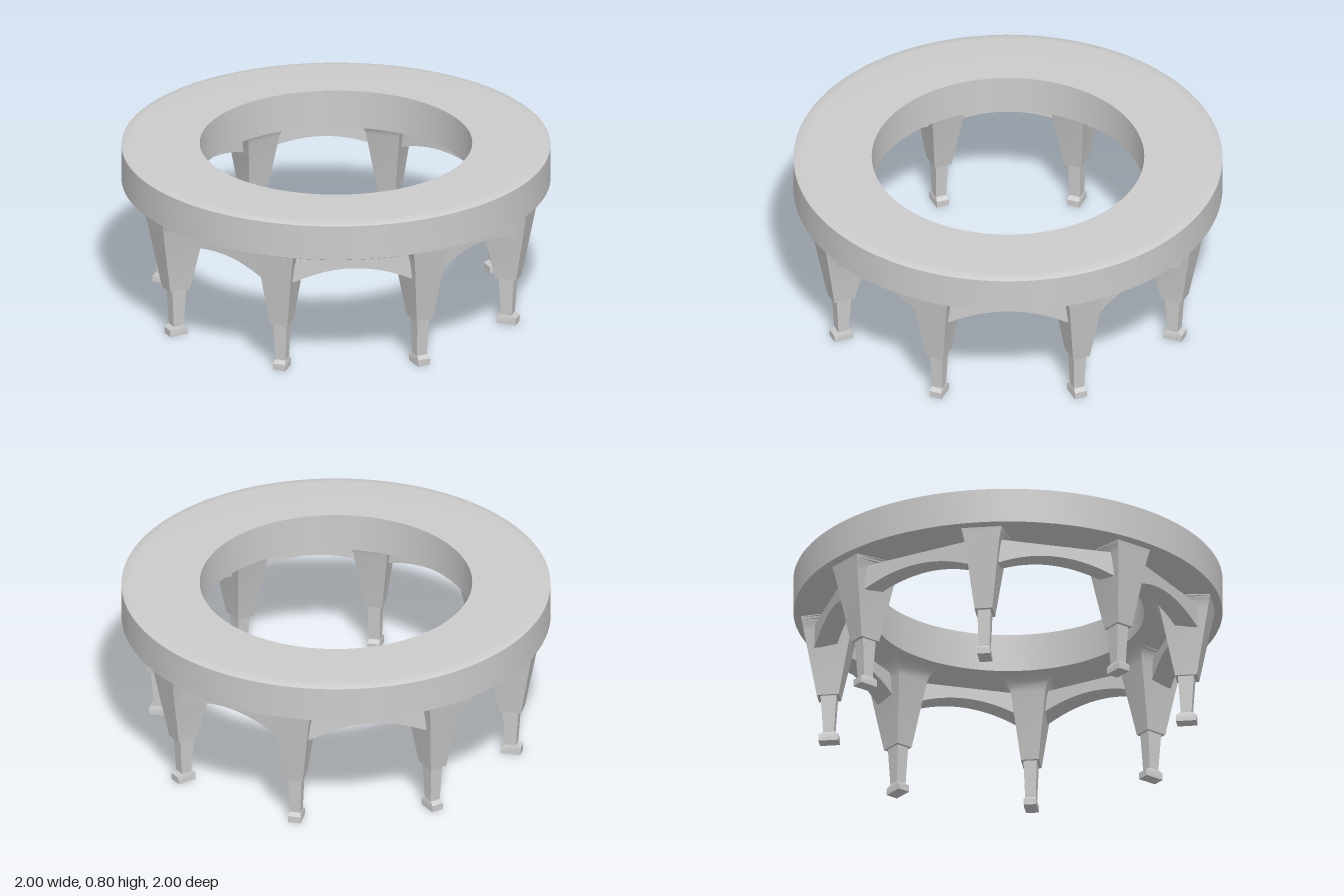
import * as THREE from 'three';
import { toCreasedNormals } from 'three/addons/utils/BufferGeometryUtils.js';

const LEGS = 8;
const STEP = (Math.PI * 2) / LEGS;
const FIRST = THREE.MathUtils.degToRad(-6);

// Closed four-sided solid through sections [y, inner r, outer r, inner half width, outer half width]
function loft(sections) {
  const pos = [];
  const rings = sections.map(([y, ri, ro, wi, wo]) =>
    [[-wo, y, ro], [wo, y, ro], [wi, y, ri], [-wi, y, ri]]);
  const quad = (a, b, c, d) => pos.push(...a, ...b, ...c, ...a, ...c, ...d);
  for (let i = 0; i < rings.length - 1; i++) {
    for (let k = 0; k < 4; k++) {
      const n = (k + 1) % 4;
      quad(rings[i][k], rings[i][n], rings[i + 1][n], rings[i + 1][k]);
    }
  }
  const [a, b, c, d] = rings[0];
  quad(d, c, b, a);
  quad(...rings[rings.length - 1]);
  const geo = new THREE.BufferGeometry();
  geo.setAttribute('position', new THREE.Float32BufferAttribute(pos, 3));
  return toCreasedNormals(geo, 0.5);
}

export function createModel() {
  const model = new THREE.Group();
  model.name = 'ringTable';
  const material = new THREE.MeshStandardMaterial({ color: 0xcccccc });
  const add = (parent, geo, name) => {
    const mesh = new THREE.Mesh(geo, material);
    mesh.name = name;
    parent.add(mesh);
    return mesh;
  };

  // Ring top with softened outer edges
  const profile = [
    [0.635, 0.615], [0.985, 0.615], [1, 0.622], [1, 0.79],
    [0.98, 0.798], [0.95, 0.8], [0.635, 0.8], [0.635, 0.615],
  ].map(([r, y]) => new THREE.Vector2(r, y));
  add(model, toCreasedNormals(new THREE.LatheGeometry(profile, 128), 0.6), 'ringTop');

  // Tapered upper leg, flaring into the ring on its inner side
  const upperLeg = loft([
    [0.23, 0.79, 0.893, 0.042, 0.042],
    [0.55, 0.725, 0.95, 0.081, 0.081],
    [0.58, 0.716, 0.955, 0.09, 0.087],
    [0.598, 0.70, 0.958, 0.102, 0.091],
    [0.609, 0.68, 0.96, 0.118, 0.094],
    [0.618, 0.645, 0.962, 0.14, 0.095],
  ]);
  // Slim lower leg and bevelled foot
  const lowerLeg = loft([
    [0.04, 0.815, 0.865, 0.025, 0.025],
    [0.232, 0.802, 0.877, 0.031, 0.031],
  ]);
  const foot = loft([
    [0, 0.793, 0.887, 0.03, 0.03],
    [0.032, 0.793, 0.887, 0.03, 0.03],
    [0.046, 0.812, 0.868, 0.025, 0.025],
  ]);

  // Straight brace with an arched underside
  const arch = new THREE.Shape();
  arch.moveTo(-0.31, 0.46);
  arch.lineTo(-0.27, 0.46);
  arch.quadraticCurveTo(0, 0.58, 0.27, 0.46);
  arch.lineTo(0.31, 0.46);
  arch.lineTo(0.31, 0.575);
  arch.lineTo(-0.31, 0.575);
  arch.closePath();
  const brace = toCreasedNormals(new THREE.ExtrudeGeometry(arch, {
    depth: 0.1, bevelEnabled: false, curveSegments: 20,
  }).translate(0, 0, 0.76), 0.5);

  for (let i = 0; i < LEGS; i++) {
    const leg = new THREE.Group();
    leg.name = 'leg';
    leg.rotation.y = FIRST + i * STEP;
    add(leg, upperLeg, 'upperLeg');
    add(leg, lowerLeg, 'lowerLeg');
    add(leg, foot, 'foot');
    model.add(leg);
    add(model, brace, 'archedBrace').rotation.y = FIRST + (i + 0.5) * STEP;
  }
  return model;
}
